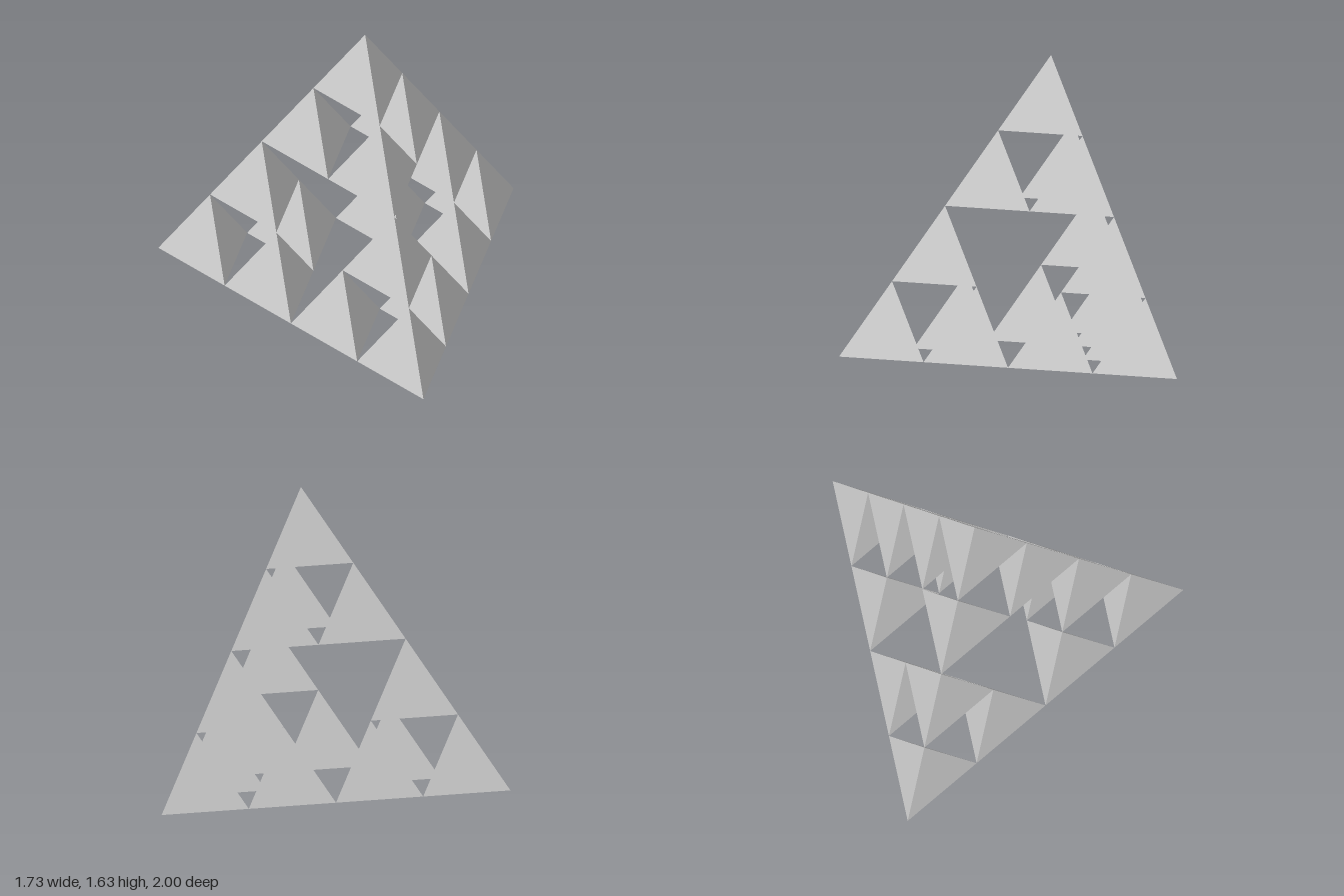
import * as THREE from 'three';

const EDGE = 2;
const LEVELS = 2;

// Corners of a regular tetrahedron with unit edge, measured from its base centre
const R = 1 / Math.sqrt(3);
const H = Math.sqrt(2 / 3);
const CORNERS = {
  rightTip: new THREE.Vector3(R, 0, 0),
  frontTip: new THREE.Vector3(-R / 2, 0, 0.5),
  backTip: new THREE.Vector3(-R / 2, 0, -0.5),
  apex: new THREE.Vector3(0, H, 0),
};

export function createModel() {
  const material = new THREE.MeshStandardMaterial({ color: 0xcccccc, flatShading: true });

  // Smallest tetrahedron: a three-sided cone with its base at y = 0 and a corner on +x
  const small = EDGE / 2 ** LEVELS;
  const geometry = new THREE.ConeGeometry(R * small, H * small, 3, 1, false, Math.PI / 2);
  geometry.translate(0, H * small / 2, 0);

  // Each cluster holds four half-size copies, one in each corner
  function build(level, edge, name) {
    if (level === 0) {
      const mesh = new THREE.Mesh(geometry, material);
      mesh.name = name + 'Tetrahedron';
      return mesh;
    }
    const cluster = new THREE.Group();
    cluster.name = name + 'Cluster';
    for (const [corner, offset] of Object.entries(CORNERS)) {
      const child = build(level - 1, edge / 2, corner);
      child.position.copy(offset).multiplyScalar(edge / 2);
      cluster.add(child);
    }
    return cluster;
  }

  const pyramid = build(LEVELS, EDGE, 'fractalPyramid');
  pyramid.position.x = -R * EDGE / 4; // centre the bounding box on x = 0

  const model = new THREE.Group();
  model.name = 'fractalTetrahedron';
  model.add(pyramid);
  return model;
}
